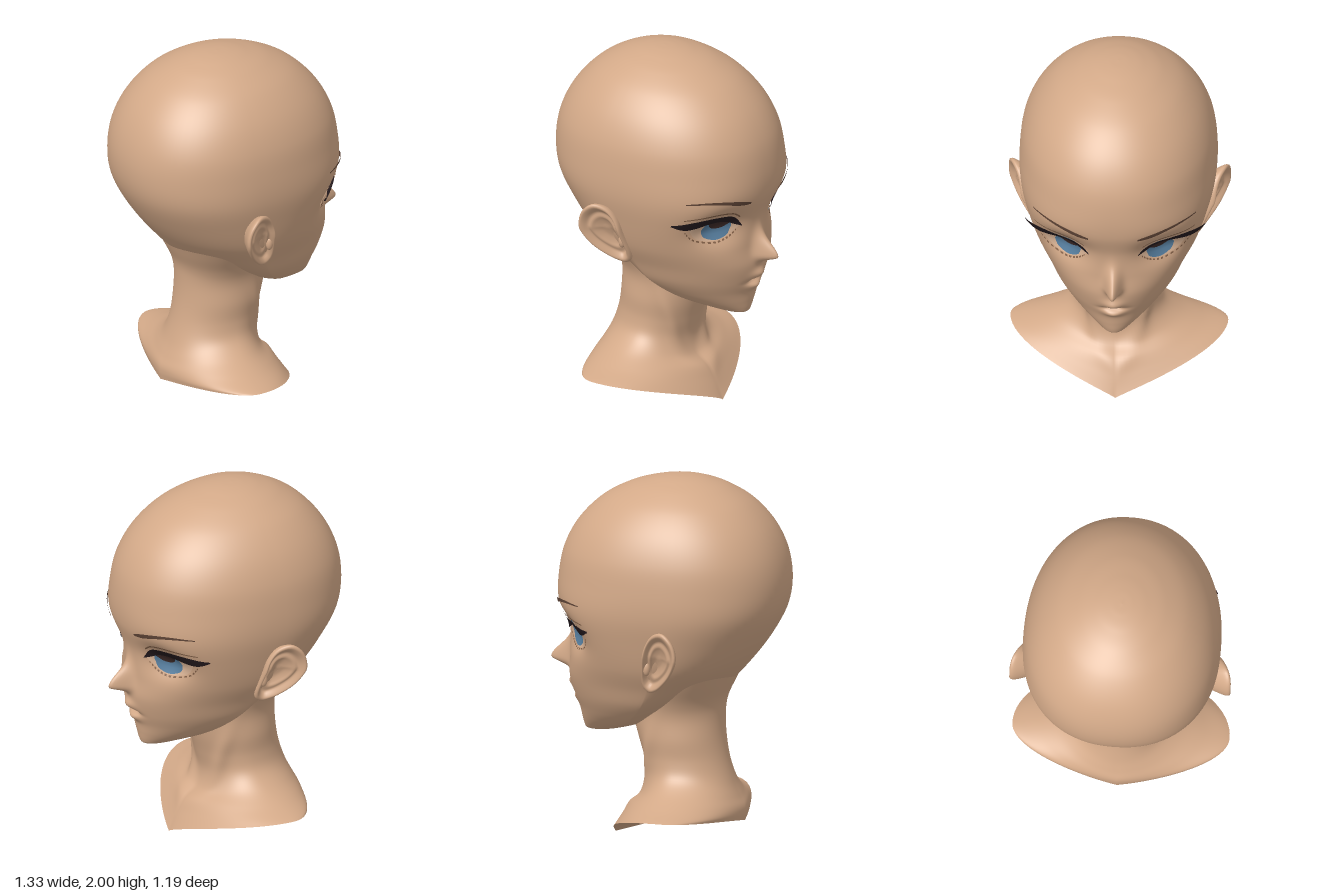
import * as THREE from 'three';

const mat = (name, color, side = THREE.FrontSide) => {
  const m = new THREE.MeshStandardMaterial({ color, side });
  m.name = name;
  return m;
};

// Closed or open grid of points, smooth shaded
function grid(rows, cols, closed, fn, flip = false) {
  const pos = [], idx = [], n = closed ? cols : cols + 1;
  for (let i = 0; i <= rows; i++) for (let j = 0; j < n; j++) pos.push(...fn(i / rows, j / cols));
  for (let i = 0; i < rows; i++) for (let j = 0; j < cols; j++) {
    const k = (j + 1) % n, a = i * n + j, d = i * n + k, b = a + n, e = d + n;
    if (flip) idx.push(a, b, d, d, b, e);
    else idx.push(a, d, b, d, e, b);
  }
  const g = new THREE.BufferGeometry();
  g.setAttribute('position', new THREE.Float32BufferAttribute(pos, 3));
  g.setIndex(idx);
  g.computeVertexNormals();
  return g;
}

// Smooth interpolation through a table of section rows, u from 0 to 1
function sample(rows, u) {
  const last = rows.length - 1, f = Math.min(u * last, last - 1e-9), i = Math.floor(f), t = f - i;
  const p1 = rows[i], p2 = rows[i + 1];
  return p1.map((b, k) => {
    const c = p2[k];
    const a = i > 0 ? rows[i - 1][k] : 2 * b - c, d = i + 2 <= last ? rows[i + 2][k] : 2 * c - b;
    return b + 0.5 * t * (c - a + t * (2 * a - 5 * b + 4 * c - d + t * (3 * (b - c) + d - a)));
  });
}

// Head sections: y, back x, widest x, front x, half width, squareness of front and back
const HEAD = [
  [2.0, -0.08, -0.08, -0.08, 0, 2, 2],
  [1.996, -0.15, -0.08, 0, 0.064, 2, 2],
  [1.98, -0.235, -0.08, 0.09, 0.14, 2, 2],
  [1.94, -0.345, -0.08, 0.22, 0.24, 2, 2],
  [1.86, -0.47, -0.08, 0.365, 0.355, 2.05, 2.1],
  [1.74, -0.577, -0.08, 0.485, 0.45, 2.1, 2.15],
  [1.6, -0.643, -0.08, 0.56, 0.508, 2.15, 2.2],
  [1.45, -0.667, -0.08, 0.59, 0.529, 2.2, 2.2],
  [1.3, -0.645, -0.08, 0.587, 0.527, 2.35, 2.2],
  [1.15, -0.57, -0.06, 0.545, 0.495, 2.4, 2.1],
  [1.0, -0.46, -0.03, 0.535, 0.45, 2.15, 1.95],
  [0.88, -0.345, 0, 0.545, 0.39, 2, 1.55],
  [0.78, -0.18, 0.05, 0.525, 0.34, 1.9, 1.4],
  [0.7, -0.04, 0.12, 0.495, 0.27, 1.9, 1.4],
  [0.64, 0.08, 0.2, 0.483, 0.195, 1.9, 1.6],
  [0.595, 0.21, 0.31, 0.474, 0.115, 1.9, 1.8],
  [0.57, 0.32, 0.38, 0.463, 0.06, 2, 2],
  [0.56, 0.4, 0.42, 0.44, 0.005, 2, 2],
];

const bell = (v, c, s) => Math.exp(-(((v - c) / s) ** 2));

// Nose, eye sockets and lips as offsets of the face
function features(y, z) {
  const az = Math.abs(z);
  const nose = 0.125 * bell(y, 0.94, y > 0.94 ? 0.1 : 0.035) * bell(z, 0, 0.037);
  const socket = -0.085 * bell(y, 1.14, 0.1) * bell(az, 0.26, 0.12);
  const lips = 0.025 * bell(y, 0.815, 0.028) * bell(z, 0, 0.05)
    - 0.03 * bell(y, 0.77, 0.014) * bell(z, 0, 0.06)
    + 0.02 * bell(y, 0.735, 0.022) * bell(z, 0, 0.05);
  return nose + socket + lips;
}

function faceX(r, z) {
  const [y, , xc, xf, w, n] = r;
  const s = w > 1e-6 ? Math.min(1, Math.abs(z) / w) : 0;
  return xc + (xf - xc) * Math.max(0, 1 - s ** n) ** (1 / n) + features(y, z);
}

function faceAt(y, z) {
  let lo = 0, hi = 1;
  for (let k = 0; k < 26; k++) {
    const m = (lo + hi) / 2;
    if (sample(HEAD, m)[0] > y) lo = m; else hi = m;
  }
  return faceX(sample(HEAD, lo), z);
}

// Point on the face lifted along its normal
function onFace(z, y, off) {
  const e = 0.004, x = faceAt(y, z);
  const n = new THREE.Vector3(1, -(faceAt(y + e, z) - faceAt(y - e, z)) / (2 * e),
    -(faceAt(y, z + e) - faceAt(y, z - e)) / (2 * e)).normalize();
  return [x + n.x * off, y + n.y * off, z + n.z * off];
}

function headGeometry() {
  const front = 100, back = 40, total = front + back;
  return grid(190, total, true, (u, v) => {
    const r = sample(HEAD, u), [y, xb, xc, , w, , nb] = r, j = Math.round(v * total);
    if (j <= front) {
      const t = (2 * j) / front - 1;
      const z = w * Math.sin((Math.PI / 2) * t * (0.5 + 0.5 * Math.abs(t)));
      return [faceX(r, z), y, z];
    }
    const a = (Math.PI * (j - front)) / back, c = Math.cos(a);
    return [xc - (xc - xb) * Math.sin(a) ** (2 / nb), y, w * Math.sign(c) * Math.abs(c) ** (2 / nb)];
  });
}

// Neck rings: front x, front y, side x, side z, side y, back x, back y, pointedness
const NECK = [
  [0.12, 1.02, -0.15, 0.38, 1.02, -0.43, 1.02, 0],
  [0.15, 0.88, -0.12, 0.31, 0.89, -0.37, 0.89, 0],
  [0.18, 0.77, -0.09, 0.25, 0.78, -0.325, 0.79, 0],
  [0.19, 0.68, -0.075, 0.225, 0.69, -0.312, 0.7, 0],
  [0.16, 0.56, -0.08, 0.228, 0.57, -0.315, 0.58, 0],
  [0.125, 0.44, -0.09, 0.225, 0.46, -0.335, 0.45, 0],
  [0.105, 0.33, -0.1, 0.25, 0.37, -0.37, 0.33, 0],
  [0.13, 0.24, -0.12, 0.33, 0.3, -0.405, 0.25, 0.1],
  [0.2, 0.18, -0.14, 0.45, 0.245, -0.43, 0.2, 0.3],
  [0.25, 0.1, -0.15, 0.56, 0.213, -0.435, 0.16, 0.45],
  [0.3, 0, -0.15, 0.585, 0.205, -0.43, 0.115, 0.5],
];
const BASE = [
  NECK[10],
  [0.1, 0.065, -0.12, 0.3, 0.14, -0.28, 0.16, 0.3],
  [-0.08, 0.12, -0.08, 0, 0.12, -0.08, 0.12, 0],
];

function neckPoint(r, v, muscles) {
  const [xf, yf, xs, zs, ys, xb, yb, p] = r, a = v * Math.PI * 2;
  const c = Math.cos(a), s = Math.sin(a), as = Math.abs(s);
  const y = ys + ((c > 0 ? yf : yb) - ys) * (1 - as ** 1.25);
  // Neck muscles run from behind the jaw down to the throat
  const at = THREE.MathUtils.lerp(0.25, 1.3, (y - 0.22) / 0.5);
  const k = 1 + (muscles ? 0.09 * bell(Math.acos(c), at, 0.17) * bell(y, 0.4, 0.2) : 0);
  return [xs + (c > 0 ? xf - xs : xs - xb) * c * k, y, zs * s * as ** Math.max(0, p) * k];
}

// Ear: outline and rings running from the root over the rim into the bowl
const EAR = new THREE.CatmullRomCurve3([
  [0, 0.92], [-0.01, 1.05], [-0.035, 1.16], [-0.085, 1.23], [-0.15, 1.25], [-0.21, 1.2],
  [-0.23, 1.11], [-0.19, 1.02], [-0.13, 0.95], [-0.075, 0.905], [-0.03, 0.89],
].map(([x, y]) => new THREE.Vector3(x, y, 0)), true);
const EAR_RINGS = [[0.72, -0.1], [0.93, -0.04], [1.01, -0.01], [1, 0.006], [0.92, 0.01],
  [0.82, -0.004], [0.7, -0.026], [0.55, -0.026], [0.42, -0.04], [0.22, -0.055], [0, -0.058]];

function earPoint(k, dz, t, side) {
  const p = EAR.getPoint(t), x = -0.105 + (p.x + 0.105) * k, y = 1.075 + (p.y - 1.075) * k;
  const backness = THREE.MathUtils.smoothstep(-x, -0.02, 0.21);
  return [x, y, side * (0.505 - 0.42 * Math.max(0, 1.1 - y) + 0.08 * backness + dz)];
}

const curve = (pts) => new THREE.SplineCurve(pts.map(([z, y]) => new THREE.Vector2(z, y)));

export function createModel() {
  const model = new THREE.Group();
  model.name = 'headBust';
  const skin = mat('skin', 0xd3a988);
  const eyeWhite = mat('eyeWhite', 0xdcb698, THREE.DoubleSide);
  const blue = mat('irisBlue', 0x5880a1, THREE.DoubleSide);
  const dark = mat('lashDark', 0x241a1e, THREE.DoubleSide);
  const pupil = mat('pupilBrown', 0x3d2a28, THREE.DoubleSide);
  const brown = mat('browBrown', 0x5e4436, THREE.DoubleSide);
  const tan = mat('lowerLashBrown', 0x86634a, THREE.DoubleSide);
  const add = (name, geo, m) => {
    const mesh = new THREE.Mesh(geo, m);
    mesh.name = name;
    model.add(mesh);
    return mesh;
  };

  add('head', headGeometry(), skin);
  add('neckAndShoulders', grid(60, 96, true, (u, v) => neckPoint(sample(NECK, u), v, true)), skin);
  add('bustUnderside', grid(8, 96, true, (u, v) => neckPoint(sample(BASE, u), v, false)), skin);

  for (const side of [1, -1]) {
    const label = side > 0 ? 'left' : 'right';
    // Thin plate on the face between an upper and a lower curve of [z, y] points;
    // wing lifts its outer end off the temple
    const plate = (name, m, upper, lower, off, cols = 24, wing = 0) => {
      const a = curve(upper), b = curve(lower), rows = cols > 4 ? 4 : 1;
      add(label + name, grid(rows, cols, false, (u, v) => {
        const p = a.getPoint(v).lerp(b.getPoint(v), u);
        const q = onFace(p.x, p.y, off + wing * bell(p.x, 0.46, 0.05));
        return [q[0], q[1], q[2] * side];
      }, side > 0), m);
    };

    add(label + 'Ear', grid(30, 48, true, (u, v) => {
      const [k, dz] = sample(EAR_RINGS, u);
      return earPoint(Math.max(0, k), dz, v, side);
    }, side < 0), skin);
    const tragus = add(label + 'EarTragus', new THREE.SphereGeometry(1, 16, 12), skin);
    tragus.scale.set(0.02, 0.04, 0.02);
    tragus.position.set(-0.03, 1.03, side * 0.468);

    // Eye
    plate('EyeWhite', eyeWhite,
      [[0.4, 1.195], [0.32, 1.215], [0.23, 1.21], [0.17, 1.18], [0.135, 1.145]],
      [[0.4, 1.19], [0.34, 1.095], [0.25, 1.068], [0.18, 1.095], [0.135, 1.14]], 0.003);
    plate('Iris', blue,
      [[0.318, 1.145], [0.3, 1.19], [0.245, 1.21], [0.19, 1.19], [0.172, 1.145]],
      [[0.318, 1.145], [0.3, 1.095], [0.245, 1.072], [0.19, 1.095], [0.172, 1.145]], 0.006);
    plate('Pupil', pupil,
      [[0.295, 1.19], [0.27, 1.2], [0.245, 1.205], [0.205, 1.2], [0.185, 1.18]],
      [[0.295, 1.185], [0.27, 1.155], [0.245, 1.14], [0.21, 1.145], [0.185, 1.175]], 0.009);
    plate('UpperLash', dark,
      [[0.452, 1.222], [0.39, 1.23], [0.31, 1.24], [0.22, 1.232], [0.165, 1.198], [0.125, 1.145]],
      [[0.452, 1.214], [0.4, 1.178], [0.31, 1.192], [0.22, 1.19], [0.165, 1.162], [0.125, 1.14]], 0.012, 28, 0.026);
    plate('EyelidCrease', tan,
      [[0.425, 1.236], [0.37, 1.25], [0.29, 1.26], [0.21, 1.248], [0.155, 1.212]],
      [[0.425, 1.23], [0.37, 1.242], [0.29, 1.25], [0.21, 1.239], [0.155, 1.204]], 0.007);

    // Lower lashes as a row of short dashes
    const lower = curve([[0.4, 1.15], [0.35, 1.09], [0.26, 1.06], [0.19, 1.08], [0.145, 1.125]]);
    for (let i = 0; i < 14; i++) {
      const p = lower.getPoint(i / 14), q = lower.getPoint((i + 0.55) / 14);
      plate('LowerLash' + i, tan, [[p.x, p.y + 0.004], [q.x, q.y + 0.004]],
        [[p.x, p.y - 0.006], [q.x, q.y - 0.006]], 0.006, 2);
    }

    // Eyebrow
    plate('Eyebrow', brown,
      [[0.43, 1.337], [0.36, 1.343], [0.28, 1.336], [0.19, 1.317], [0.13, 1.298]],
      [[0.43, 1.332], [0.36, 1.331], [0.28, 1.318], [0.19, 1.294], [0.13, 1.287]], 0.009);
  }
  return model;
}
